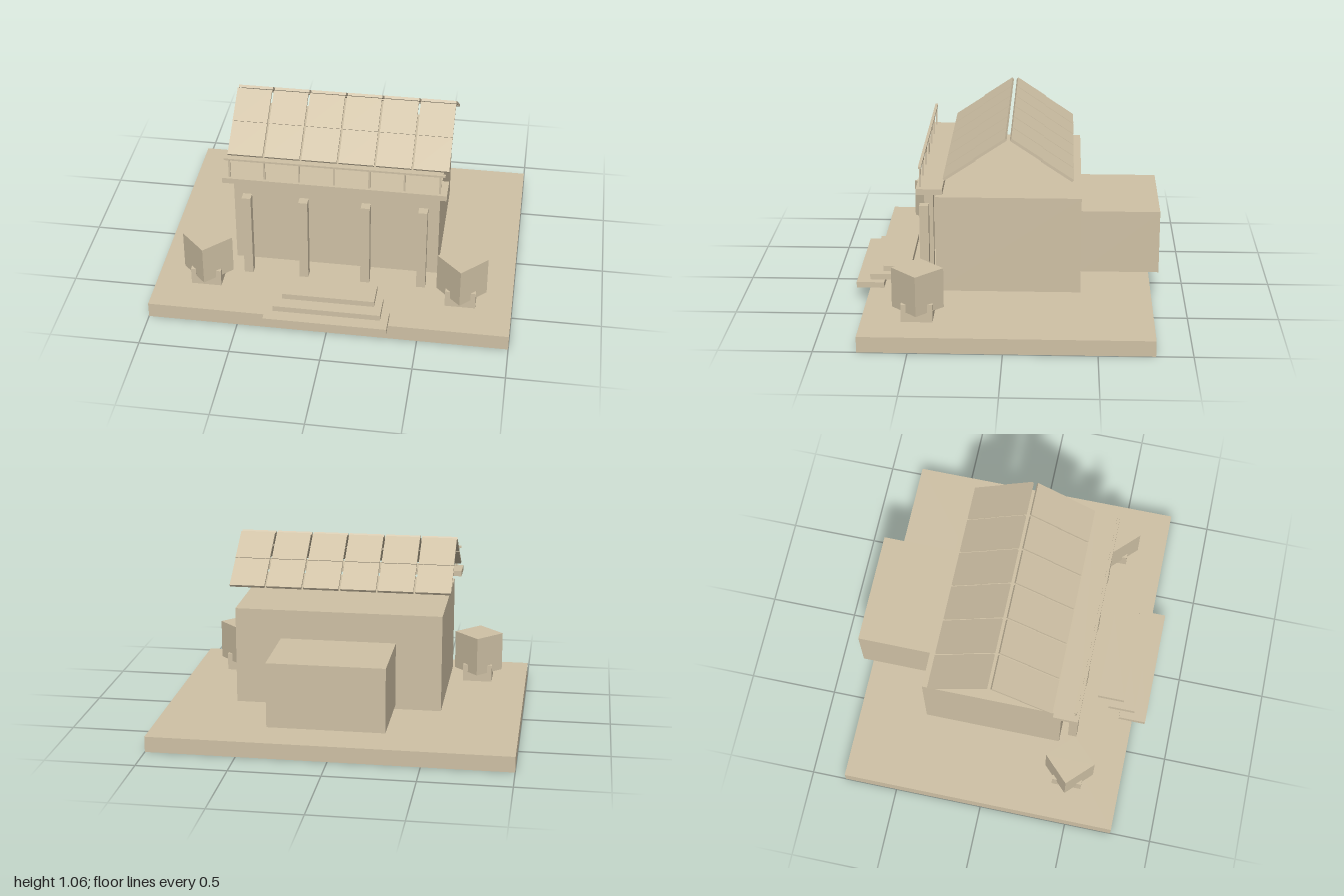
import * as THREE from 'three';

const material = new THREE.MeshStandardMaterial({ color: 0xcfc1a5, flatShading: true });

// Box given by its extents along each axis
function box(parent, name, [x0, x1], [y0, y1], [z0, z1]) {
  const mesh = new THREE.Mesh(new THREE.BoxGeometry(x1 - x0, y1 - y0, z1 - z0), material);
  mesh.position.set((x0 + x1) / 2, (y0 + y1) / 2, (z0 + z1) / 2);
  mesh.name = name;
  parent.add(mesh);
  return mesh;
}

function group(parent, name) {
  const g = new THREE.Group();
  g.name = name;
  parent.add(g);
  return g;
}

export function createModel() {
  const model = new THREE.Group();
  model.name = 'house';

  // Ground slab and building volumes
  box(model, 'groundSlab', [-1, 1], [0, 0.088], [-0.803, 0.768]);
  box(model, 'mainHall', [-0.57, 0.57], [0.176, 0.716], [-0.408, 0.376]);
  box(model, 'rearAnnex', [-0.318, 0.318], [0.197, 0.554], [-0.845, -0.408]);

  // Entrance steps, each narrower and further back
  const steps = group(model, 'steps');
  [0.34, 0.297, 0.255].forEach((half, i) => {
    const y = 0.09 + i * 0.033;
    const z = 0.689 - i * 0.072;
    box(steps, 'step', [-half, half], [y, y + 0.033], [z, z + 0.155]);
  });

  // Front columns
  const columns = group(model, 'columns');
  for (const x of [-0.486, -0.172, 0.172, 0.486]) {
    box(columns, 'column', [x - 0.025, x + 0.025], [0.137, 0.644], [0.418, 0.468]);
  }

  // Balcony deck with railing
  const balcony = group(model, 'balcony');
  box(balcony, 'deck', [-0.612, 0.612], [0.743, 0.775], [0.335, 0.475]);
  box(balcony, 'handrail', [-0.6, 0.6], [0.884, 0.895], [0.446, 0.462]);
  for (let i = -3; i <= 3; i++) {
    const x = i * 0.191;
    box(balcony, 'railPost', [x - 0.005, x + 0.005], [0.775, 0.885], [0.449, 0.459]);
  }

  // Gable roof: six bays of two panels on each slope
  const roof = group(model, 'roof');
  const panelLength = 0.2;
  for (const side of [1, -1]) {
    const slope = group(roof, side > 0 ? 'frontSlope' : 'rearSlope');
    slope.position.set(0, 0.942, -0.017 + side * 0.178);
    slope.rotation.x = side * 0.588;
    for (let i = 0; i < 6; i++) {
      const x = (i - 2.5) * 0.205;
      for (const row of [-1, 1]) {
        const panel = box(slope, 'roofPanel', [x - 0.097, x + 0.097], [-0.0075, 0.0075],
          [-panelLength / 2, panelLength / 2]);
        // the upper row sits slightly proud of the lower one
        panel.position.z = row * side * panelLength / 2;
        panel.position.y = -row * 0.002;
      }
    }
  }

  // Planters: turned box resting on a footed base with corner pegs
  for (const side of [1, -1]) {
    const planter = group(model, side > 0 ? 'leftPlanter' : 'rightPlanter');
    planter.position.set(side * 0.715, 0, 0.466);
    const r = 0.085, peg = 0.028;
    box(planter, 'planterBase', [-r, r], [0.088, 0.142], [-r, r]);
    for (const sx of [-1, 1]) for (const sz of [-1, 1]) {
      const cx = sx * (r - peg / 2), cz = sz * (r - peg / 2);
      box(planter, 'cornerPeg', [cx - peg / 2, cx + peg / 2], [0.142, 0.188],
        [cz - peg / 2, cz + peg / 2]);
    }
    box(planter, 'planterBox', [-0.099, 0.099], [0.142, 0.367], [-0.099, 0.099]).rotation.y = Math.PI / 4;
  }

  return model;
}
